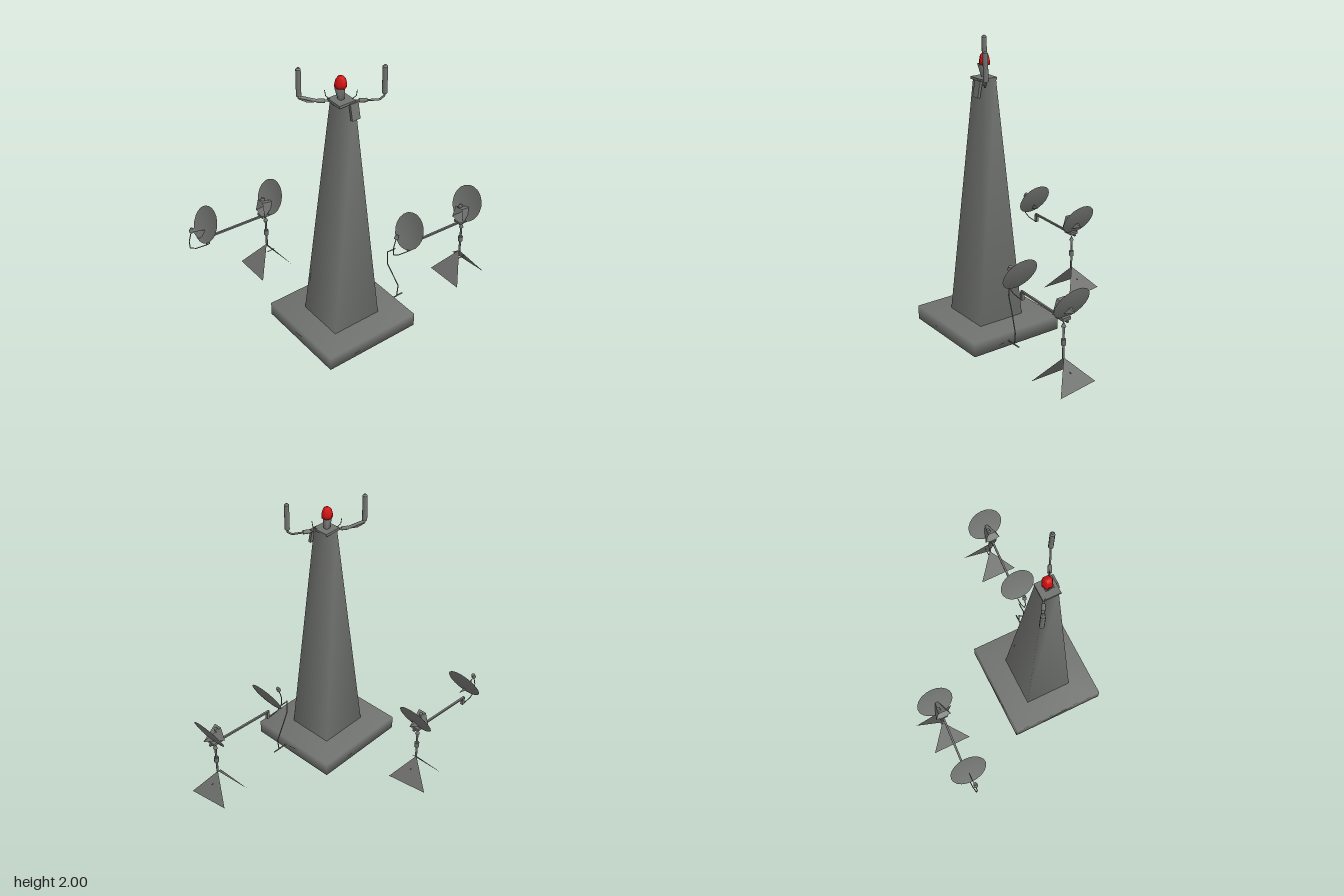
import * as THREE from 'three';
import { mergeVertices } from 'three/addons/utils/BufferGeometryUtils.js';

const steel = new THREE.MeshStandardMaterial({ color: 0x70726f, side: THREE.DoubleSide });
steel.name = 'steel grey';
const red = new THREE.MeshStandardMaterial({ color: 0xd01212 });
red.name = 'beacon red';

const V = (p) => new THREE.Vector3(...p);

function add(parent, name, geometry, position = [0, 0, 0], material = steel) {
  const mesh = new THREE.Mesh(geometry, material);
  mesh.name = name;
  mesh.position.set(...position);
  parent.add(mesh);
  return mesh;
}

// Round bar from a to b
function rod(parent, name, a, b, r0, r1 = r0, sides = 6) {
  const dir = V(b).sub(V(a));
  const mesh = add(parent, name, new THREE.CylinderGeometry(r1, r0, dir.length(), sides));
  mesh.position.copy(V(a)).addScaledVector(dir, 0.5);
  mesh.quaternion.setFromUnitVectors(new THREE.Vector3(0, 1, 0), dir.normalize());
  return mesh;
}

// Thin bent cable through a few points
function cable(parent, name, points, radius = 0.003) {
  for (let i = 1; i < points.length; i++) rod(parent, name, points[i - 1], points[i], radius, radius, 5);
}

// Block whose top may differ in size and centre, with corner normals blended
function block(bottom, top, y0, y1) {
  const g = new THREE.BoxGeometry(1, 1, 1);
  const p = g.attributes.position;
  for (let i = 0; i < p.count; i++) {
    const up = p.getY(i) > 0;
    const [cx, cz, w, d] = up ? top : bottom;
    p.setXYZ(i, cx + p.getX(i) * w, up ? y1 : y0, cz + p.getZ(i) * d);
  }
  g.deleteAttribute('normal');
  g.deleteAttribute('uv');
  const merged = mergeVertices(g);
  merged.computeVertexNormals();
  return merged;
}

function facets(points) {
  const g = new THREE.BufferGeometry();
  g.setAttribute('position', new THREE.Float32BufferAttribute(points.flat(), 3));
  g.computeVertexNormals();
  return g;
}

// Shallow dish, opening toward -x and upward
function dish(parent, x) {
  const profile = [[0, -0.008], [0.045, -0.007], [0.09, -0.002], [0.132, 0.006]]
    .map(([r, y]) => new THREE.Vector2(r, y));
  const mesh = add(parent, 'dish', new THREE.LatheGeometry(profile, 20), [x, 0.583, 0.41]);
  mesh.rotation.z = 1.115;
}

// Small receiver in front of a dish
function feedHorn(parent, x) {
  const horn = add(parent, 'feedHorn', new THREE.CylinderGeometry(0.013, 0.016, 0.03, 8), [x, 0.588, 0.41]);
  horn.rotation.z = -0.4;
}

// Two dishes on a beam with a mast and folded stand
function dishStation(withPanel) {
  const g = new THREE.Group();
  g.name = 'dishStation';

  const beam = add(g, 'beam', new THREE.BoxGeometry(0.53, 0.013, 0.014), [0.558, 0.462, 0.414]);
  beam.rotation.y = -0.06;
  add(g, 'beamBracket', new THREE.BoxGeometry(0.022, 0.055, 0.02), [0.306, 0.433, 0.4]);
  add(g, 'mastHead', new THREE.BoxGeometry(0.08, 0.02, 0.06), [0.77, 0.474, 0.428]);

  dish(g, 0.3);
  dish(g, 0.838);
  feedHorn(g, 0.183);
  feedHorn(g, 0.77);
  cable(g, 'feedArm', [[0.18, 0.58, 0.41], [0.157, 0.5, 0.41], [0.163, 0.44, 0.405],
    [0.21, 0.41, 0.4], [0.295, 0.4, 0.4], [0.302, 0.45, 0.4]], 0.0035);

  // Tapered support between the feed and the rear dish
  const tip = [0.88, 0.54, 0.42];
  const c = [[0.735, 0.49, 0.37], [0.735, 0.49, 0.485], [0.74, 0.595, 0.455], [0.74, 0.595, 0.395]];
  add(g, 'dishSupport', facets([0, 1, 2, 3].flatMap((i) => [c[i], c[(i + 1) % 4], tip])));
  if (withPanel) {
    add(g, 'feedPanel', facets([[0.188, 0.575, 0.41], [0.233, 0.49, 0.41], [0.343, 0.525, 0.41]]));
  }

  // Mast with collar and pointed cap
  const m = [0.777, 0.428];
  rod(g, 'mast', [m[0], 0.19, m[1]], [m[0], 0.42, m[1]], 0.008);
  rod(g, 'mastCollar', [m[0], 0.285, m[1]], [m[0], 0.325, m[1]], 0.017, 0.017, 8);
  rod(g, 'mastCap', [m[0], 0.41, m[1]], [m[0], 0.442, m[1]], 0.017, 0.002, 8);
  rod(g, 'standPeg', [0.785, 0.112, 0.42], [0.845, 0.112, 0.42], 0.003);

  // Triangular stand panels
  const apex = [0.777, 0.195, 0.425];
  add(g, 'standPanel', facets([apex, [0.635, 0.012, 0.29], [0.635, 0.012, 0.575]]));
  add(g, 'standPanel', facets([apex, [0.915, 0.01, 0.555], [0.882, 0.02, 0.255]]));
  return g;
}

export function createModel() {
  const model = new THREE.Group();

  // Plinth and tapered tower
  add(model, 'plinth', block([-0.22, 0.326, 0.72, 0.69], [-0.22, 0.326, 0.72, 0.69], 0, 0.1));
  add(model, 'tower', block([-0.228, 0.328, 0.37, 0.345], [-0.214, 0.317, 0.112, 0.105], 0.1, 1.765));
  add(model, 'topPlate', new THREE.BoxGeometry(0.125, 0.018, 0.125), [-0.222, 1.77, 0.317]);

  // Beacon on a wedge-shaped mount
  add(model, 'beaconMount', block([-0.222, 0.312, 0.03, 0.03], [-0.238, 0.32, 0.05, 0.04], 1.778, 1.862));
  const dome = [[0, 0], [0.039, 0], [0.039, 0.025], [0.032, 0.058], [0.017, 0.075], [0, 0.077]]
    .map(([r, y]) => new THREE.Vector2(r, y));
  add(model, 'beacon', new THREE.LatheGeometry(dome, 6), [-0.222, 1.86, 0.309], red);

  // Tilted equipment box on the front
  const box = add(model, 'equipmentBox', new THREE.BoxGeometry(0.062, 0.11, 0.018), [-0.181, 1.715, 0.395]);
  box.rotation.x = -0.2;

  // Two mast antennas on cranked arms
  const aerials = [
    { foot: [-0.433, 0.168], bend: [-0.39, 0.195], inner: [-0.27, 0.27] },
    { foot: [0.003, 0.453], bend: [-0.025, 0.44], inner: [-0.17, 0.355] },
  ];
  aerials.forEach(({ foot, bend, inner }, i) => {
    const at = ([x, z], y) => [x, y, z];
    rod(model, 'antenna', at(foot, 1.808), at(foot, 1.99), 0.017, 0.017, 10);
    rod(model, 'antennaCap', at(foot, 1.99), at(foot, 2), 0.017, 0.008, 10);
    cable(model, 'antennaArm', [at(foot, 1.81), at(foot, 1.79), at(bend, 1.765), at(inner, 1.765)], 0.007);
    const mid = (t) => [inner[0] + (bend[0] - inner[0]) * t, 1.766, inner[1] + (bend[1] - inner[1]) * t];
    rod(model, 'armSleeve', mid(0.25), mid(0.55), 0.014, 0.014, 8);
    if (i === 0) rod(model, 'armBrace', mid(0.55), at(foot, 1.8), 0.011);
    // Small upright prongs beside the beacon
    const s = i ? 1 : -1;
    cable(model, 'prong', [[-0.222 + s * 0.055, 1.778, 0.312 + s * 0.04],
      [-0.222 + s * 0.075, 1.8, 0.312 + s * 0.055], [-0.222 + s * 0.08, 1.84, 0.312 + s * 0.058]], 0.0025);
  });

  // Dish stations beside and behind the tower
  model.add(dishStation(false));
  const rear = dishStation(true);
  rear.position.set(-1.073, 0, -0.913);
  model.add(rear);

  // Ground cable of the near station
  cable(model, 'groundCable', [[0.2, 0.46, 0.38], [0.13, 0.465, 0.38], [0.13, 0.36, 0.385],
    [0.175, 0.25, 0.39], [0.222, 0.13, 0.4], [0.212, 0.04, 0.4]], 0.004);
  rod(model, 'cablePipe', [0.13, 0.04, 0.4], [0.262, 0.04, 0.4], 0.005);
  return model;
}
